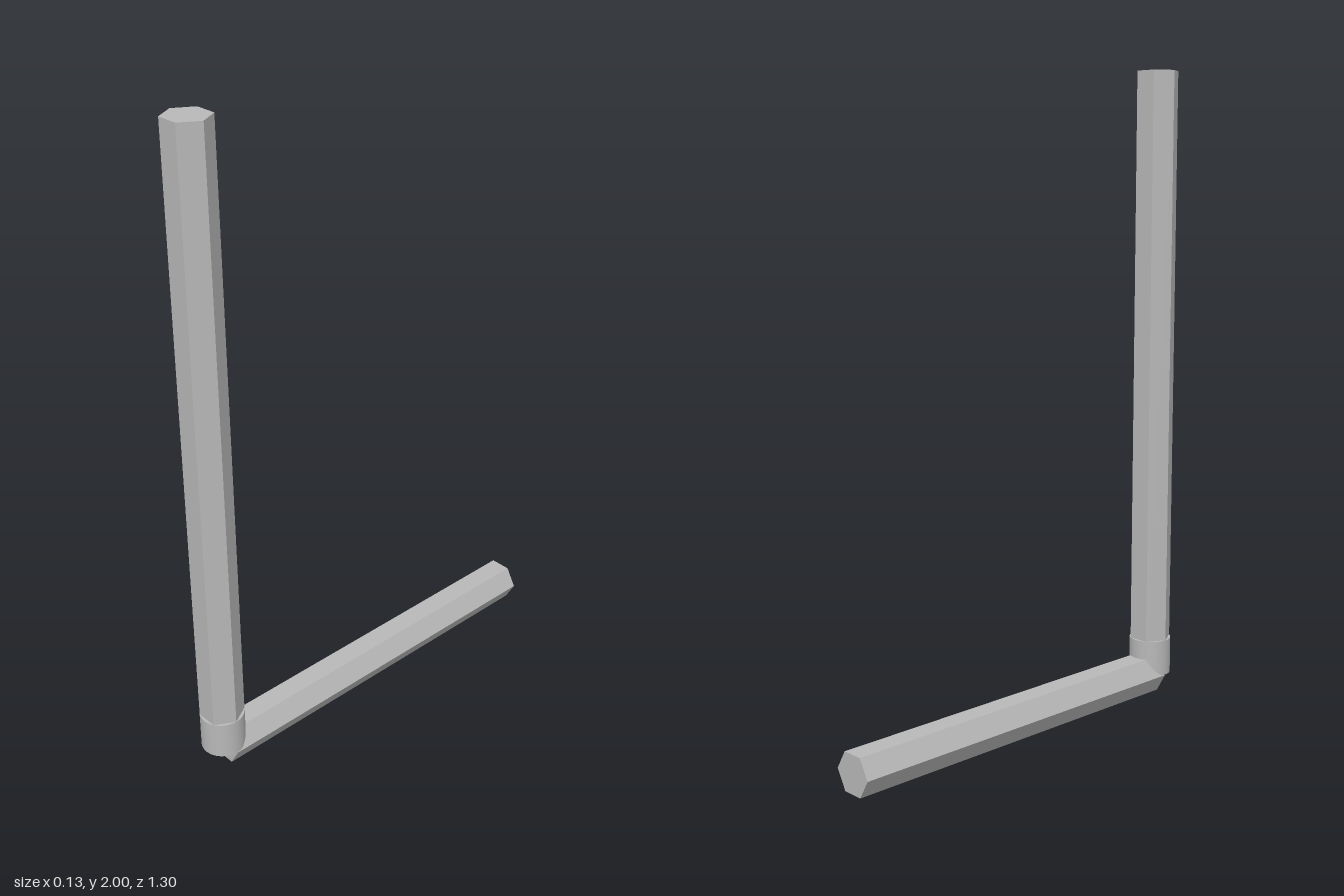
import * as THREE from 'three';

const R = 0.067;                       // corner radius of the hexagonal bar
const APOTHEM = R * Math.cos(Math.PI / 6);
const BEND_Z = 0.583;                  // where the two arms meet
const BACK_Z = -0.65;

export function createModel() {
  const group = new THREE.Group();
  const steel = new THREE.MeshStandardMaterial({ color: 0xb8b8b8 });
  steel.name = 'grey steel';
  const flatSteel = steel;

  const add = (name, geometry, y, z) => {
    const mesh = new THREE.Mesh(geometry, flatSteel);
    mesh.name = name;
    mesh.position.set(0, y, z);
    group.add(mesh);
  };

  // Hexagonal bar along y with corners on the x axis and hard edges
  const hexBar = (length) => {
    const bar = new THREE.CylinderGeometry(R, R, length, 6).rotateY(Math.PI / 2).toNonIndexed();
    bar.computeVertexNormals();
    return bar;
  };

  // Long upright arm
  const bottom = APOTHEM + 0.01;
  add('longArm', hexBar(2 - bottom), (2 + bottom) / 2, BEND_Z);

  // Short arm lying on the ground, running to the back
  add('shortArm', hexBar(BEND_Z - BACK_Z).rotateX(Math.PI / 2), APOTHEM, (BEND_Z + BACK_Z) / 2);

  // Round collar at the elbow
  add('elbowCollar', new THREE.CylinderGeometry(R, R, 0.117, 32), 0.1185, BEND_Z);

  return group;
}
